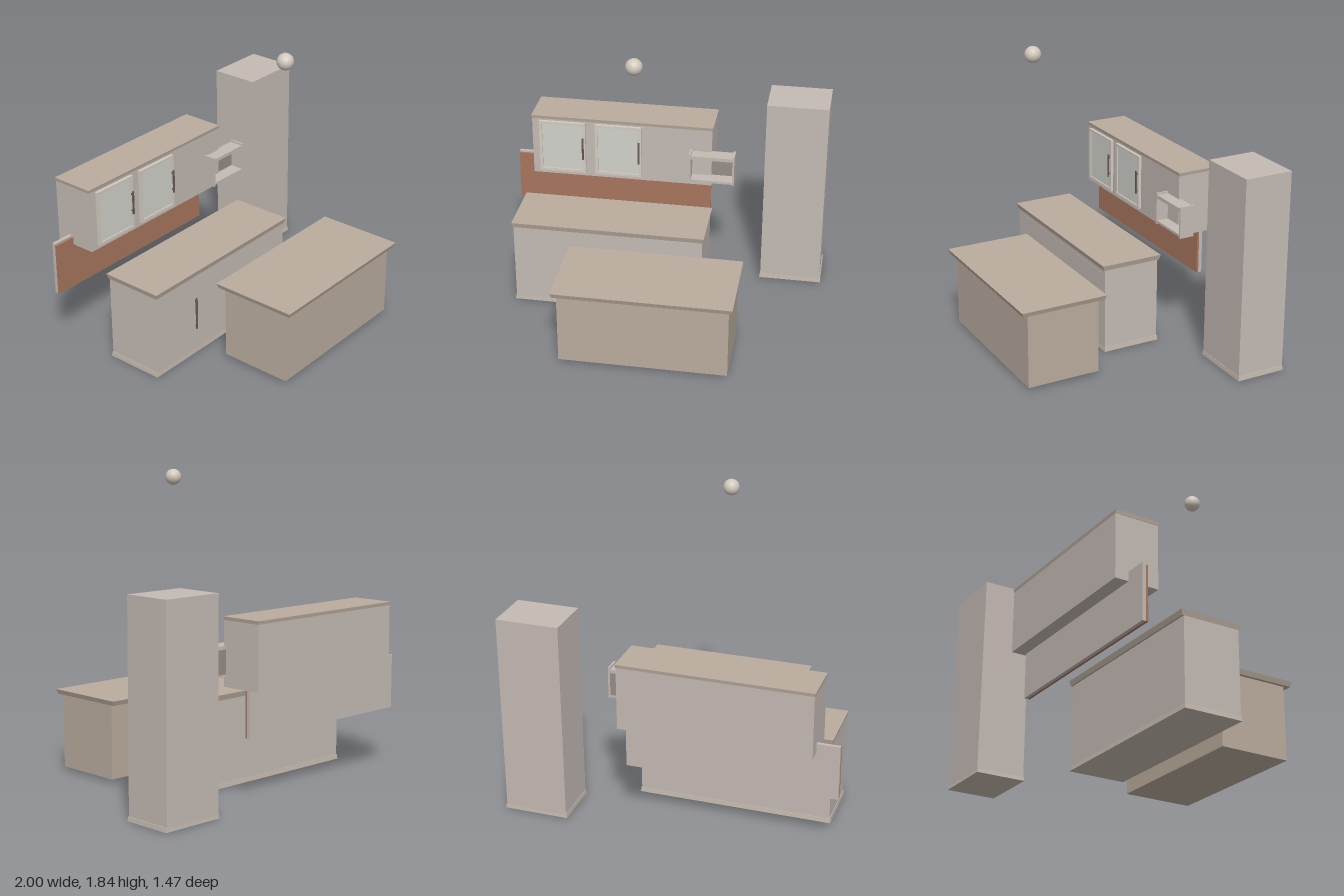
import * as THREE from 'three';

const mat = (color) => new THREE.MeshStandardMaterial({ color });
const BODY = mat(0xc4bab4), STONE = mat(0xbaac9e), TRIM = mat(0xc2b8ac), GLASS = mat(0xd2d2cc);
const METAL = mat(0x6a5c56), CLAY = mat(0xa8765e), SHADE = mat(0x988c88), PALE = mat(0xd4ccc2);

// Box from its limits; taper pulls the bottom edge inwards (or the top edge when negative)
function slab(parent, name, m, [x0, x1], [y0, y1], [z0, z1], taper = 0) {
  const w = x1 - x0, h = y1 - y0, d = z1 - z0;
  const g = new THREE.BoxGeometry(w, h, d);
  if (taper) {
    const p = g.attributes.position;
    for (let i = 0; i < p.count; i++) {
      if (p.getY(i) * taper < 0) {
        p.setX(i, p.getX(i) - Math.sign(p.getX(i)) * Math.abs(taper));
        p.setZ(i, p.getZ(i) - Math.sign(p.getZ(i)) * Math.abs(taper));
      }
    }
    g.computeVertexNormals();
  }
  const mesh = new THREE.Mesh(g, m);
  mesh.name = name;
  mesh.position.set((x0 + x1) / 2, (y0 + y1) / 2, (z0 + z1) / 2);
  parent.add(mesh);
  return mesh;
}

function section(parent, name) {
  const g = new THREE.Group();
  g.name = name;
  parent.add(g);
  return g;
}

// Bar handle held off the front by two posts
function handle(parent, x, y0, y1, z, out) {
  const g = section(parent, 'handle');
  slab(g, 'handleBar', METAL, [x - 0.006, x + 0.006], [y0, y1], [z + out - 0.007, z + out]);
  for (const y of [y0 + 0.015, y1 - 0.025])
    slab(g, 'handlePost', METAL, [x - 0.004, x + 0.004], [y, y + 0.01], [z, z + out - 0.004]);
}

// Framed glass door with a handle near its right edge
function glassDoor(parent, x0, x1, y0, y1, z) {
  const g = section(parent, 'glassDoor');
  const s = new THREE.Shape([[x0, y0], [x1, y0], [x1, y1], [x0, y1]].map((p) => new THREE.Vector2(...p)));
  const f = 0.018;
  s.holes.push(new THREE.Path([[x0 + f, y0 + f], [x0 + f, y1 - f], [x1 - f, y1 - f], [x1 - f, y0 + f]]
    .map((p) => new THREE.Vector2(...p))));
  const frame = new THREE.Mesh(new THREE.ExtrudeGeometry(s, { depth: 0.018, bevelEnabled: false }), PALE);
  frame.name = 'doorFrame';
  frame.position.z = z;
  g.add(frame);
  slab(g, 'doorPane', GLASS, [x0 + f, x1 - f], [y0 + f, y1 - f], [z, z + 0.01]);
  handle(g, x1 - 0.015, y0 + 0.1, y0 + 0.25, z + 0.016, 0.016);
}

export function createModel() {
  const root = new THREE.Group();
  root.name = 'kitchen';

  // Island
  const island = section(root, 'island');
  slab(island, 'islandBody', STONE, [-0.47, 0.535], [0.022, 0.475], [0.242, 0.69]);
  slab(island, 'islandTop', STONE, [-0.5, 0.56], [0.475, 0.504], [0.198, 0.733], 0.01);

  // Base cabinet
  const base = section(root, 'baseCabinet');
  slab(base, 'baseBody', BODY, [-0.88, 0.295], [0.025, 0.528], [-0.288, 0.068]);
  slab(base, 'basePlinth', TRIM, [-0.887, 0.302], [0, 0.028], [-0.294, 0.071], -0.003);
  slab(base, 'counterTop', STONE, [-0.888, 0.305], [0.528, 0.56], [-0.306, 0.084], 0.008);
  slab(base, 'drawerEdge', TRIM, [-0.82, 0.24], [0.495, 0.499], [0.06, 0.069]);
  handle(base, -0.537, 0.165, 0.375, 0.068, 0.012);

  // Splashback: clay face on a grey backing
  const splash = section(root, 'splashback');
  slab(splash, 'splashBacking', BODY, [-1, 0.26], [0.368, 0.7], [-0.625, -0.603]);
  slab(splash, 'splashFace', CLAY, [-1, 0.26], [0.368, 0.69], [-0.603, -0.59]);

  // Wall cabinet with two glass doors
  const wall = section(root, 'wallCabinet');
  slab(wall, 'wallBody', BODY, [-0.865, 0.28], [0.645, 1.03], [-0.707, -0.439]);
  slab(wall, 'wallCrown', STONE, [-0.87, 0.286], [1.028, 1.048], [-0.71, -0.436], 0.003);
  for (const x of [-0.818, -0.46]) glassDoor(wall, x, x + 0.296, 0.673, 1.02, -0.436);

  // Small open shelf at the end of the wall cabinet
  const shelf = section(root, 'openShelf');
  for (const x of [0.145, 0.418])
    slab(shelf, 'shelfSide', BODY, [x, x + 0.012], [0.696, 0.893], [-0.455, -0.36]);
  slab(shelf, 'shelfTop', BODY, [0.157, 0.418], [0.86, 0.882], [-0.455, -0.363]);
  slab(shelf, 'shelfBottom', BODY, [0.157, 0.418], [0.703, 0.718], [-0.455, -0.363]);
  slab(shelf, 'shelfBack', SHADE, [0.157, 0.418], [0.718, 0.86], [-0.455, -0.449]);

  // Tall cabinet
  const tall = section(root, 'tallCabinet');
  slab(tall, 'tallBody', BODY, [0.612, 0.992], [0.025, 1.235], [-0.731, -0.43]);
  slab(tall, 'tallPlinth', TRIM, [0.606, 1], [0.004, 0.03], [-0.733, -0.425], -0.003);

  // Hanging lamp
  const lamp = new THREE.Mesh(new THREE.SphereGeometry(0.049, 32, 20), mat(0xd2c8bc));
  lamp.name = 'lampGlobe';
  lamp.position.set(-0.065, 1.789, 0.346);
  root.add(lamp);

  return root;
}
